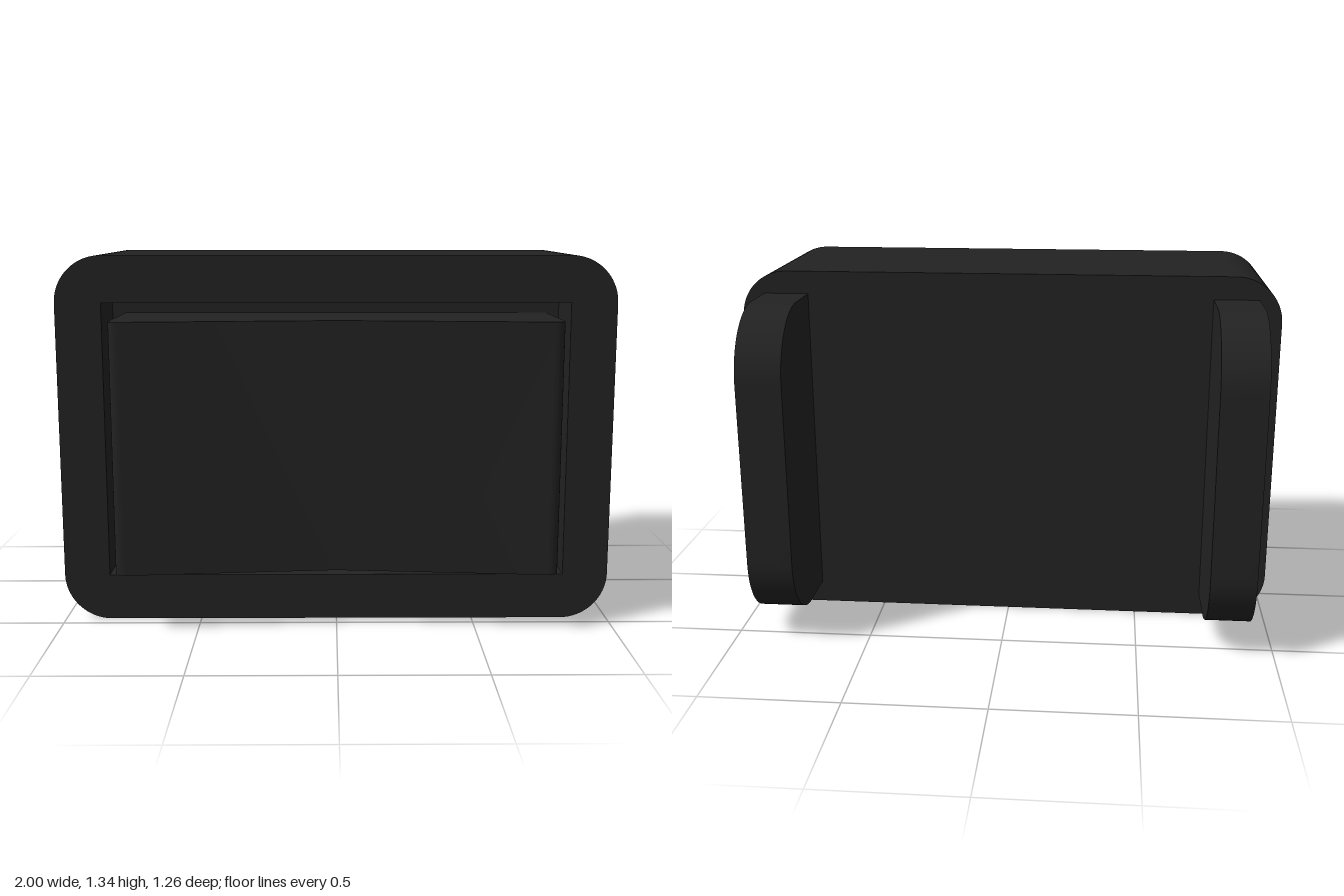
import * as THREE from 'three';
import { toCreasedNormals } from 'three/addons/utils/BufferGeometryUtils.js';

const HEIGHT = 1.335;
const MID_Y = HEIGHT / 2;
const FLOOR_Z = 0.22; // bottom of the front recess

function roundedRect(w, h, r) {
  const s = new THREE.Shape();
  const x = w / 2, y = h / 2;
  s.moveTo(x, y - r);
  s.absarc(x - r, y - r, r, 0, Math.PI / 2);
  s.absarc(r - x, y - r, r, Math.PI / 2, Math.PI);
  s.absarc(r - x, r - y, r, Math.PI, Math.PI * 1.5);
  s.absarc(x - r, r - y, r, Math.PI * 1.5, Math.PI * 2);
  return s;
}

// Straight extrusion with smooth rounded corners and sharp edges
function extrude(shape, depth) {
  const g = new THREE.ExtrudeGeometry(shape, { depth, bevelEnabled: false, curveSegments: 12 });
  return toCreasedNormals(g, Math.PI / 6);
}

export function createModel() {
  const group = new THREE.Group();
  const material = new THREE.MeshStandardMaterial({ color: 0x222222 });
  const add = (name, geometry, parent = group) => {
    const mesh = new THREE.Mesh(geometry, material);
    mesh.name = name;
    parent.add(mesh);
    return mesh;
  };

  // Housing: solid rear block and a front frame around the recess
  const housing = new THREE.Group();
  housing.name = 'housing';
  housing.position.y = MID_Y;
  group.add(housing);

  const outline = roundedRect(2, HEIGHT, 0.17);
  add('housingBack', extrude(outline, FLOOR_Z + 0.21), housing).position.z = -0.21;

  const frame = roundedRect(2, HEIGHT, 0.17);
  const hw = 0.835, hh = 0.5;
  frame.holes.push(new THREE.Path([
    new THREE.Vector2(-hw, -hh), new THREE.Vector2(-hw, hh),
    new THREE.Vector2(hw, hh), new THREE.Vector2(hw, -hh),
  ]));
  add('housingFrame', extrude(frame, 0.45 - FLOOR_Z), housing).position.z = FLOOR_Z;

  // Rocker button: shallow V face with rounded ends, profile in x and z
  const rw = 0.785, rh = 0.895;
  const rocker = new THREE.Shape();
  rocker.moveTo(-rw, FLOOR_Z);
  rocker.lineTo(rw, FLOOR_Z);
  rocker.lineTo(rw, 0.59);
  rocker.quadraticCurveTo(rw, 0.634, rw - 0.045, 0.628);
  rocker.lineTo(0, 0.565);
  rocker.lineTo(0.045 - rw, 0.628);
  rocker.quadraticCurveTo(-rw, 0.634, -rw, 0.59);
  const rockerGeometry = extrude(rocker, rh);
  rockerGeometry.rotateX(Math.PI / 2);
  add('rocker', rockerGeometry).position.y = MID_Y + rh / 2;

  // Rear mounting tabs: rounded at the back corners, profile in z and y
  const th = 0.583, r = 0.25, back = -0.63, t = 0.165;
  const tab = new THREE.Shape();
  tab.moveTo(-0.21, -th);
  tab.lineTo(-0.21, th);
  tab.lineTo(back + r, th);
  tab.absarc(back + r, th - r, r, Math.PI / 2, Math.PI);
  tab.absarc(back + r, r - th, r, Math.PI, Math.PI * 1.5);
  const tabGeometry = extrude(tab, t);
  tabGeometry.rotateY(-Math.PI / 2);
  tabGeometry.translate(t / 2, 0, 0);
  for (const [name, side] of [['leftTab', 1], ['rightTab', -1]]) {
    add(name, tabGeometry).position.set(side * 0.8325, MID_Y, 0);
  }

  return group;
}
